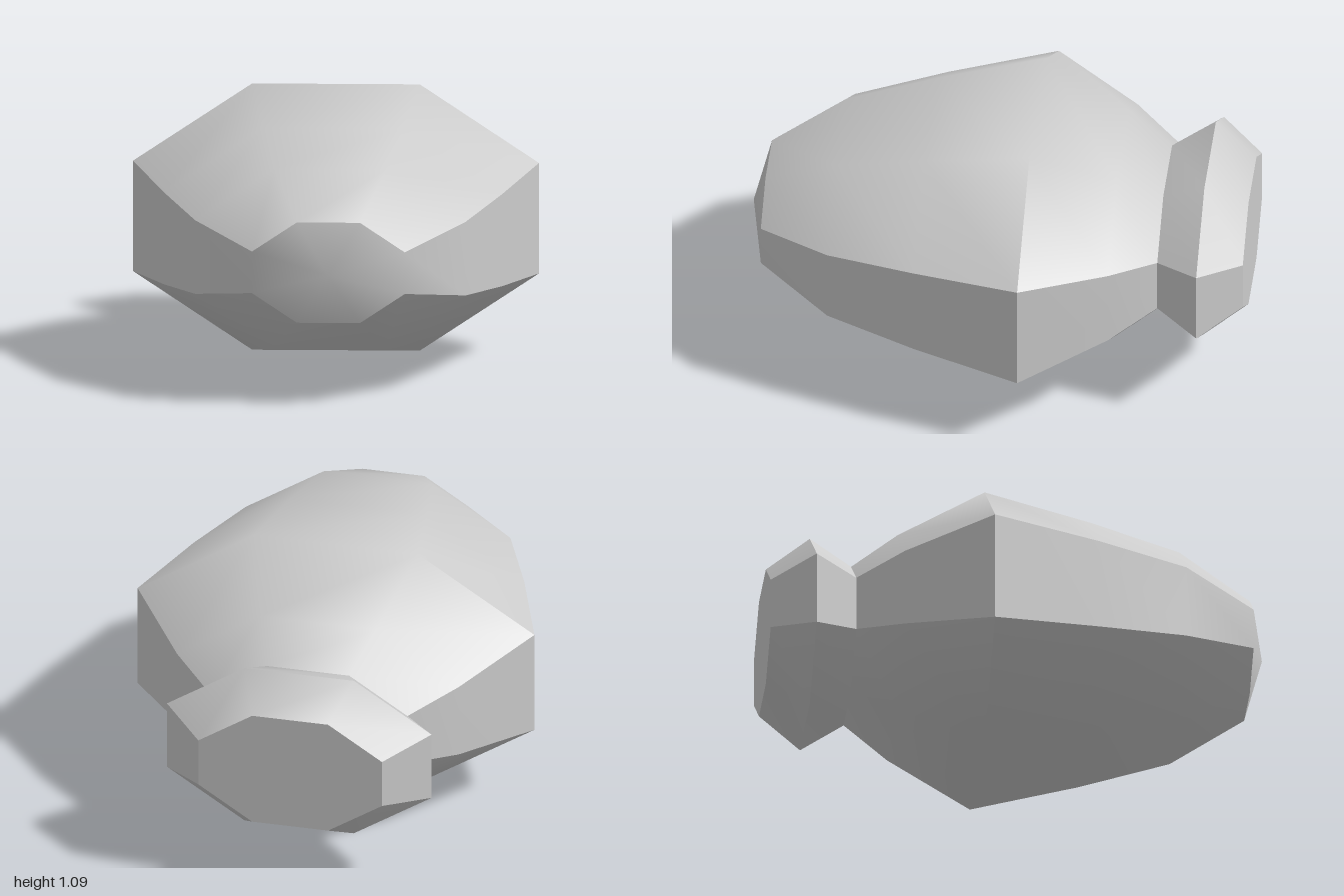
import * as THREE from 'three';

const MID_Y = 0.547;
// Octagon section at unit half width, anticlockwise seen from the front
const OCTAGON = [
  [1, -0.278], [1, 0.278], [0.413, 0.67], [-0.413, 0.67],
  [-1, 0.278], [-1, -0.278], [-0.413, -0.67], [0.413, -0.67],
];
// Smooth band of each octagon side
const BANDS = ['left', 'crown', 'crown', 'crown', 'right', 'belly', 'belly', 'belly'];
const isWaist = (corner) => corner % 4 < 2;

// Rings are [z, halfWidth], back to front. Vertices are shared only inside one smooth group.
function loft(rings, groupOf, cap) {
  const positions = [], index = [], seen = new Map();
  const vertex = (r, k, group) => {
    const key = `${r},${k},${group}`;
    if (!seen.has(key)) {
      const [z, w] = rings[r];
      seen.set(key, positions.length / 3);
      positions.push(OCTAGON[k][0] * w, MID_Y + OCTAGON[k][1] * w, z);
    }
    return seen.get(key);
  };
  for (let r = 0; r < rings.length - 1; r++) {
    for (let k = 0; k < 8; k++) {
      const n = (k + 1) % 8;
      const v = (ring, corner) => vertex(ring, corner, groupOf(r, ring, corner, BANDS[k]));
      const a = v(r, k), b = v(r, n), c = v(r + 1, n), d = v(r + 1, k);
      index.push(a, b, c, a, c, d);
    }
  }
  // End cap, a shallow point or a flat plate
  const tip = positions.length / 3;
  positions.push(0, MID_Y, cap.z);
  for (let k = 0; k < 8; k++) {
    const a = vertex(cap.ring, k, 'cap'), b = vertex(cap.ring, (k + 1) % 8, 'cap');
    if (cap.front) index.push(a, b, tip);
    else index.push(b, a, tip);
  }
  const geometry = new THREE.BufferGeometry();
  geometry.setAttribute('position', new THREE.Float32BufferAttribute(positions, 3));
  geometry.setIndex(index);
  geometry.computeVertexNormals();
  return geometry;
}

export function createModel() {
  const model = new THREE.Group();
  model.name = 'facetedBody';
  const grey = new THREE.MeshStandardMaterial({ color: 0xcccccc, side: THREE.DoubleSide });
  grey.name = 'light grey';

  // Main body: widest at ring 2, creased there along the waist, sides flowing into the nose
  const bodyRings = [[-0.66, 0.405], [-0.48, 0.575], [-0.14, 0.81], [0.29, 0.675], [0.65, 0.54], [0.94, 0.305]];
  const bodyGroup = (segment, ring, corner, band) => {
    if (ring === 2 && isWaist(corner)) return band + (segment < 2 ? 'Back' : 'Front');
    if (ring === 5 && (band === 'left' || band === 'right')) return 'cap';
    return band;
  };
  const body = new THREE.Mesh(loft(bodyRings, bodyGroup, { ring: 5, z: 1, front: true }), grey);
  body.name = 'body';
  model.add(body);

  // Flared collar at the back with sharp rims and a flat end
  const collarRings = [[-1, 0.375], [-0.83, 0.54], [-0.66, 0.405]];
  const collarGroup = (segment, ring, corner, band) => band + segment;
  const collar = new THREE.Mesh(loft(collarRings, collarGroup, { ring: 0, z: -1, front: false }), grey);
  collar.name = 'rearCollar';
  model.add(collar);

  return model;
}
